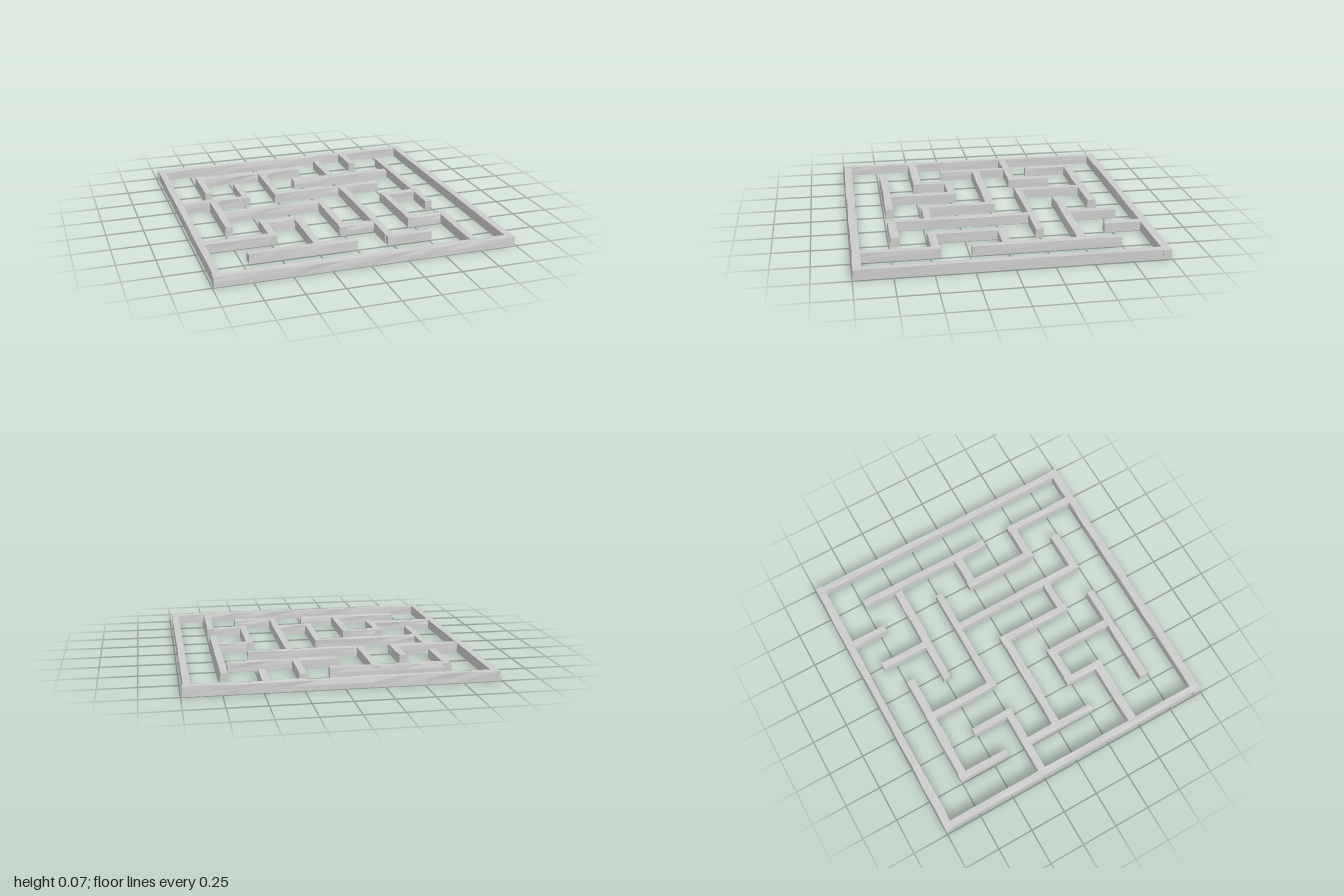
import * as THREE from 'three';

const HEIGHT = 0.066;

// Repeatable value in 0..1 from a position
function hash(a, b, c) {
  const s = Math.sin(a * 127.1 + b * 311.7 + c * 74.7) * 43758.5453;
  return s - Math.floor(s);
}

// One rough-hewn beam spanning x0..x1 and z0..z1; its upper edges are worn inwards
function beam(name, [x0, x1, z0, z1], material) {
  const w = x1 - x0, d = z1 - z0, alongX = w > d;
  const pieces = Math.max(2, Math.round(Math.max(w, d) / 0.16));
  const geo = new THREE.BoxGeometry(w, HEIGHT, d, alongX ? pieces : 2, 2, alongX ? 2 : pieces);
  geo.translate((x0 + x1) / 2, HEIGHT / 2, (z0 + z1) / 2);
  const p = geo.attributes.position;
  const wear = alongX ? 0.009 : 0.004;
  for (let i = 0; i < p.count; i++) {
    const x = p.getX(i), y = p.getY(i), z = p.getZ(i);
    if (y < 0.01) continue;
    const kx = Math.round(x * 500), ky = Math.round(y * 500), kz = Math.round(z * 500);
    const side = alongX ? Math.sign(Math.round((z - (z0 + z1) / 2) * 1000))
      : Math.sign(Math.round((x - (x0 + x1) / 2) * 1000));
    const top = y > HEIGHT * 0.9;
    const inset = side * wear * hash(kx, ky, kz) * (top ? 1 : 0.4);
    if (alongX) p.setZ(i, z - inset);
    else p.setX(i, x - inset);
    if (top) p.setY(i, y - wear * 0.8 * hash(kz, kx, ky));
  }
  geo.computeVertexNormals();
  const mesh = new THREE.Mesh(geo, material);
  mesh.name = name;
  return mesh;
}

export function createModel() {
  const model = new THREE.Group();
  model.name = 'maze';
  const material = new THREE.MeshStandardMaterial({ color: 0xcccccc, flatShading: true });

  // Walls as [x0, x1, z0, z1]
  const layout = {
    outerWall: [
      [-0.99, 0.99, -1, -0.94], [-0.99, 0.99, 0.935, 1],
      [-0.985, -0.935, -0.995, 0.995], [0.935, 0.985, -0.995, 0.995],
    ],
    // Back part of the maze
    backWall: [
      [-0.74, 0.05, -0.755, -0.69], [-0.745, -0.695, -0.755, -0.39],
      [-0.275, -0.225, -0.75, -0.22], [-0.25, 0.52, -0.275, -0.22],
      [-0.06, 0.68, -0.52, -0.455], [0.21, 0.26, -0.84, -0.5],
      [0.455, 0.505, -0.95, -0.695], [0.695, 0.745, -0.745, 0.235],
    ],
    // Left and right branches around the middle
    middleWall: [
      [-0.95, -0.46, -0.275, -0.215], [-0.51, -0.46, -0.52, -0.215],
      [-0.75, -0.7, -0.25, 0.27], [-0.72, 0.02, -0.03, 0.035],
      [-0.03, 0.02, -0.03, 0.5], [-0.03, 0.24, 0.435, 0.495],
      [0.21, 0.26, -0.25, 0.7], [0.455, 0.72, -0.03, 0.035],
      [0.455, 0.505, -0.03, 0.495],
    ],
    // Front part of the maze
    frontWall: [
      [0.455, 0.745, 0.435, 0.5], [0.695, 0.745, 0.435, 0.95],
      [0.215, 0.52, 0.675, 0.74], [-0.95, -0.46, 0.435, 0.5],
      [-0.51, -0.46, 0.21, 0.5], [-0.51, -0.225, 0.21, 0.275],
      [-0.275, -0.225, 0.21, 0.7], [-0.71, 0.01, 0.675, 0.74],
    ],
  };

  for (const [name, walls] of Object.entries(layout)) {
    const group = new THREE.Group();
    group.name = name + 's';
    walls.forEach((w, i) => group.add(beam(name + (i + 1), w, material)));
    model.add(group);
  }
  return model;
}
